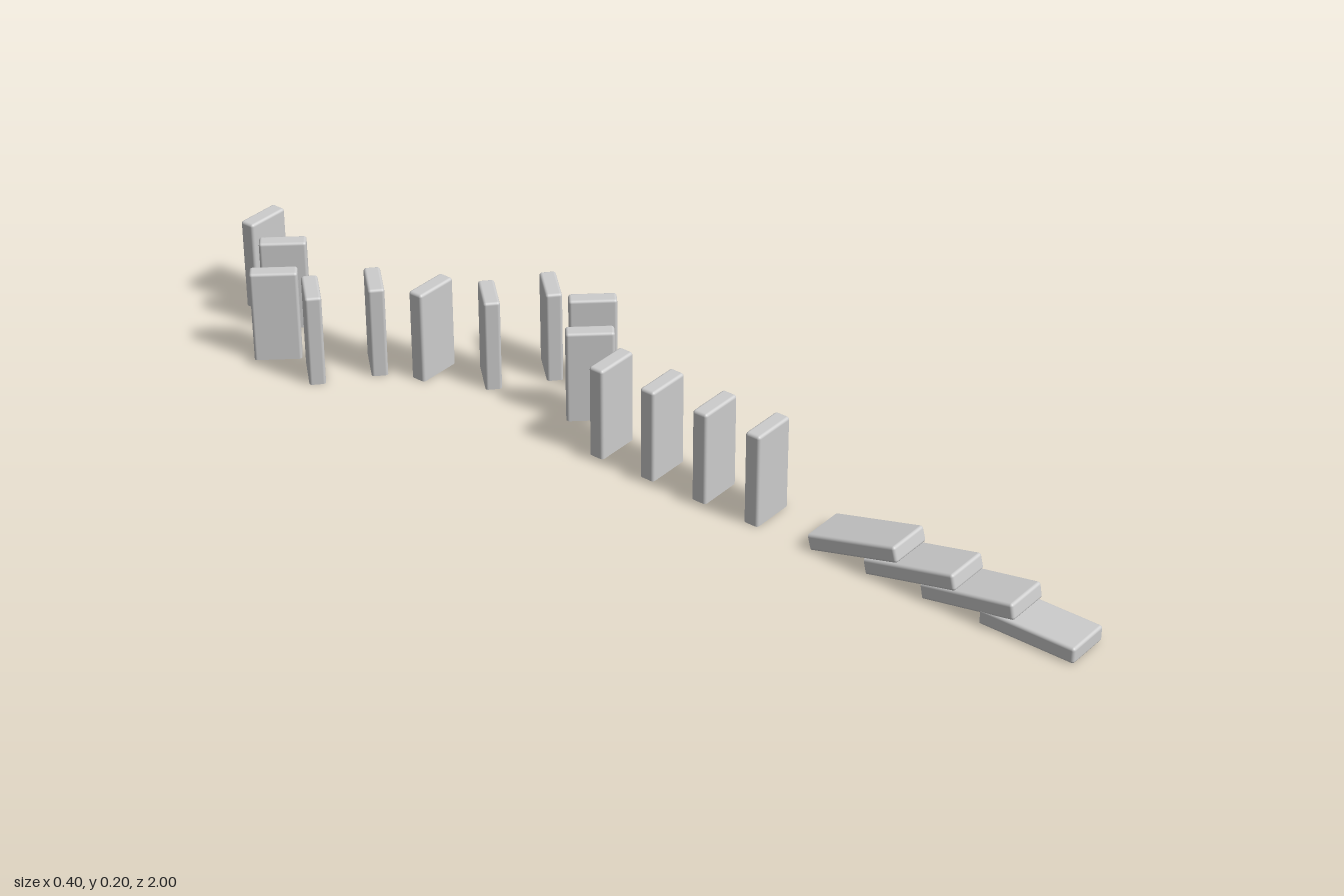
import * as THREE from 'three';
import { RoundedBoxGeometry } from 'three/addons/geometries/RoundedBoxGeometry.js';

const W = 0.095, H = 0.196, T = 0.033, R = 0.006;
const rad = THREE.MathUtils.degToRad;

// Tile with softly rounded sides and top, and a flat, sharp base
function tileGeometry() {
  const g = new RoundedBoxGeometry(W, H + R, T, 3, R);
  g.translate(0, -R / 2, 0);
  const p = g.attributes.position, n = g.attributes.normal;
  const base = -H / 2;
  for (let i = 0; i < p.count; i++) if (p.getY(i) < base) p.setY(i, base);
  for (let i = 0; i < p.count; i += 3) {
    const flat = [0, 1, 2].every((k) => p.getY(i + k) < base + 1e-5);
    if (flat) for (let k = 0; k < 3; k++) n.setXYZ(i + k, 0, -1, 0);
  }
  return g;
}

export function createModel() {
  const model = new THREE.Group();
  model.name = 'dominoRun';
  const grey = new THREE.MeshStandardMaterial({ color: 0xcccccc });
  grey.name = 'lightGrey';
  const geometry = tileGeometry();

  const addTile = (name, x, y, z) => {
    const tile = new THREE.Mesh(geometry, grey);
    tile.name = name;
    tile.position.set(x, y, z);
    model.add(tile);
    return tile;
  };

  // Standing tiles along the winding path: x, z, turn in degrees
  const standing = [
    [-0.004, 0.296, 0], [-0.004, 0.174, 0], [-0.004, 0.05, 0], [-0.004, -0.073, 0],
    [0.056, -0.174, -48], [0.156, -0.249, -48],
    [0.147, -0.348, 48], [0.046, -0.421, 48],
    [-0.004, -0.528, 0],
    [-0.056, -0.631, 48], [-0.157, -0.705, 48],
    [-0.156, -0.808, -48], [-0.055, -0.879, -48],
    [-0.004, -0.983, 0],
  ];
  standing.forEach(([x, z, turn], i) => {
    addTile(`standingTile${i + 1}`, x, H / 2, z).rotation.y = rad(turn);
  });

  // Fallen tiles, each leaning on the one ahead: z, slope in degrees
  const fallen = [[0.902, 0], [0.775, 11], [0.65, 13.5], [0.525, 15.3]];
  fallen.forEach(([z, slope], i) => {
    const a = rad(slope);
    const y = (H * Math.sin(a) + T * Math.cos(a)) / 2;
    addTile(`fallenTile${i + 1}`, -0.004, y, z).rotation.x = Math.PI / 2 - a;
  });

  return model;
}
